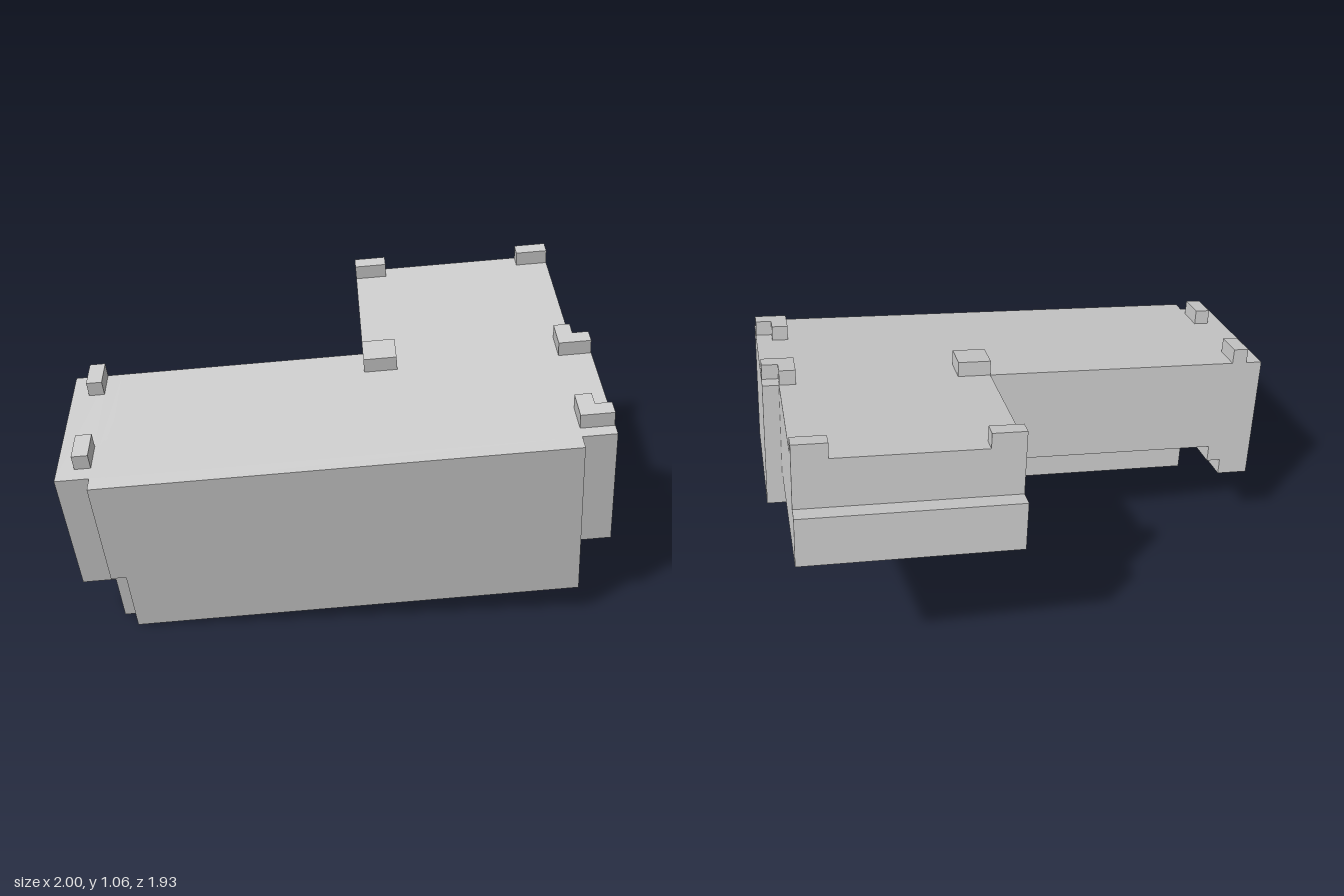
import * as THREE from 'three';

// Upturned corner sofa, built in its own axes (a = along the long run, b = up, d = toward the front)
// and then turned and tipped as a whole.
export function createModel() {
  const model = new THREE.Group();
  model.name = 'upturnedCornerSofa';
  const material = new THREE.MeshStandardMaterial({ color: 0xcccccc, flatShading: true });

  // Box given by its [min, max] range on each axis
  function block(name, a, b, d, parent = model) {
    const mesh = new THREE.Mesh(
      new THREE.BoxGeometry(a[1] - a[0], b[1] - b[0], d[1] - d[0]), material);
    mesh.position.set((a[0] + a[1]) / 2, (b[0] + b[1]) / 2, (d[0] + d[1]) / 2);
    mesh.name = name;
    parent.add(mesh);
    return mesh;
  }

  const top = 0.824;      // underside of the sofa, facing up
  const seat = 0.466;     // seat surface, facing down
  const seatFront = -0.154;
  const left = -0.901, right = 0.777;

  // Long run of seating
  block('longSeat', [left, right], [seat, top], [seatFront, 0.44]);

  // Chaise: the cushion overhangs its base at the end
  block('chaiseBase', [0.06, 0.838], [0.645, top], [-0.748, 0]);
  block('chaiseCushion', [0.06, 0.838], [seat, 0.645], [-0.813, 0]);

  // Backrest, with a rear panel notched at one lower corner, and its cushion
  block('backrest', [left, right], [0.158, top], [0.263, 0.442]);
  block('rearPanel', [-0.847, right], [0.158, top], [0.442, 0.5]);
  block('rearPanelCorner', [left, -0.847], [0.403, top], [0.442, 0.5]);
  block('backCushion', [left, right], [0.281, seat], [0.21, 0.263]);

  // Arms with a lower inner panel each
  const armDepth = [seatFront, 0.442];
  block('outerArm', [-1.02, left], [0.342, top], armDepth);
  block('outerArmInnerPanel', [left, -0.847], [0.403, top], armDepth);
  block('chaiseArm', [right, 0.898], [0.342, top], armDepth);
  block('chaiseArmInnerPanel', [0.723, right], [0.403, top], armDepth);

  // Feet
  const footHeight = [top, 0.88];
  block('innerCornerFoot', [0.06, 0.182], footHeight, [seatFront, -0.036]);
  for (const a of [[0.06, 0.182], [0.716, 0.838]]) {
    block('chaiseEndFoot', a, footHeight, [-0.748, -0.69]);
  }
  for (const d of [seatFront, 0.268]) {
    block('outerArmFoot', [-0.958, left], footHeight, [d, d + 0.118]);
  }
  // L-shaped feet under the chaise arm
  for (const d of [seatFront, 0.278]) {
    const foot = new THREE.Group();
    foot.name = 'chaiseArmFoot';
    block('footLong', [right, 0.837], footHeight, [d, d + 0.118], foot);
    block('footShort', [0.837, 0.896], footHeight, [d + 0.059, d + 0.118], foot);
    model.add(foot);
  }

  // Tip forward after turning about the sofa's own upright axis
  model.rotation.set(0.1958, 0.4066, 0, 'XYZ');

  const root = new THREE.Group();
  root.name = 'cornerSofa';
  root.add(model);
  return root;
}
